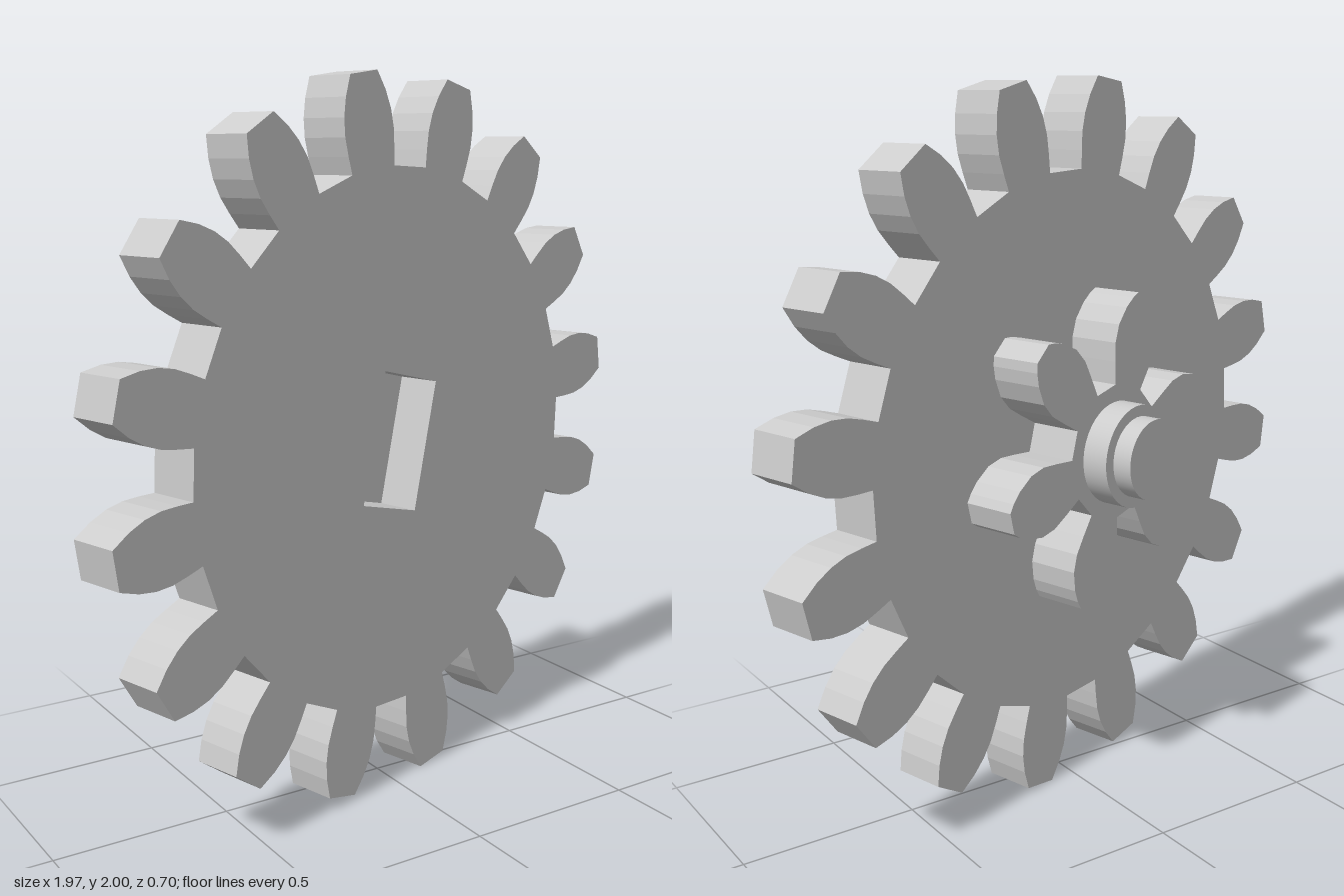
import * as THREE from 'three';

const material = new THREE.MeshStandardMaterial({ color: 0xcccccc });

// Outline of a gear: half a tooth is given as [radius, half width] from root to tip
function gearShape(teeth, halfTooth) {
  const points = [];
  for (let i = 0; i < teeth; i++) {
    const angle = (i / teeth) * Math.PI * 2;
    const side = (sign) => halfTooth.map(([r, w]) =>
      new THREE.Vector2(r, sign * w).rotateAround(new THREE.Vector2(), angle));
    points.push(...side(-1), ...side(1).reverse());
  }
  return new THREE.Shape(points);
}

function addMesh(parent, name, geometry) {
  const mesh = new THREE.Mesh(geometry, material);
  mesh.name = name;
  parent.add(mesh);
  return mesh;
}

// Flat plate from a shape, spanning back..front along the axle
function addPlate(parent, name, shape, back, front) {
  const geometry = new THREE.ExtrudeGeometry(shape, { depth: front - back, bevelEnabled: false });
  return addMesh(parent, name, geometry.translate(0, 0, back));
}

// Round disc on the axle
function addDisc(parent, name, radius, back, front) {
  const geometry = new THREE.CylinderGeometry(radius, radius, front - back, 40);
  geometry.rotateX(Math.PI / 2).translate(0, 0, (back + front) / 2);
  return addMesh(parent, name, geometry);
}

export function createModel() {
  const model = new THREE.Group();
  model.name = 'doubleGear';

  // Large gear with a rectangular pocket in its front face
  const large = gearShape(16, [
    [0.752, 0.083], [0.8, 0.09], [0.85, 0.095], [0.9, 0.091], [0.95, 0.077], [1.003, 0.052],
  ]);
  const w = 0.111, h = 0.186;
  large.holes.push(new THREE.Path([
    new THREE.Vector2(-w, -h), new THREE.Vector2(-w, h),
    new THREE.Vector2(w, h), new THREE.Vector2(w, -h),
  ]));
  addPlate(model, 'largeGear', large, -0.058, 0.087);

  // Floor of the pocket
  addMesh(model, 'pocketFloor', new THREE.BoxGeometry(2 * w, 2 * h, 0.018)).position.z = -0.049;

  // Small gear on the back with leaf-shaped teeth
  const small = gearShape(6, [
    [0.18, 0.058], [0.24, 0.077], [0.29, 0.091], [0.34, 0.09], [0.39, 0.07], [0.42, 0.049], [0.438, 0.03],
  ]);
  addPlate(model, 'smallGear', small, -0.208, -0.058);

  // Collar and axle stub
  addDisc(model, 'collar', 0.142, -0.285, -0.208);
  addDisc(model, 'axleStub', 0.111, -0.341, -0.285);

  // Roll about the axle, then turn about the vertical
  model.rotation.set(0, THREE.MathUtils.degToRad(15), THREE.MathUtils.degToRad(-14), 'YXZ');
  model.position.y = 1;

  const root = new THREE.Group();
  root.name = 'gearModel';
  root.add(model);
  return root;
}
